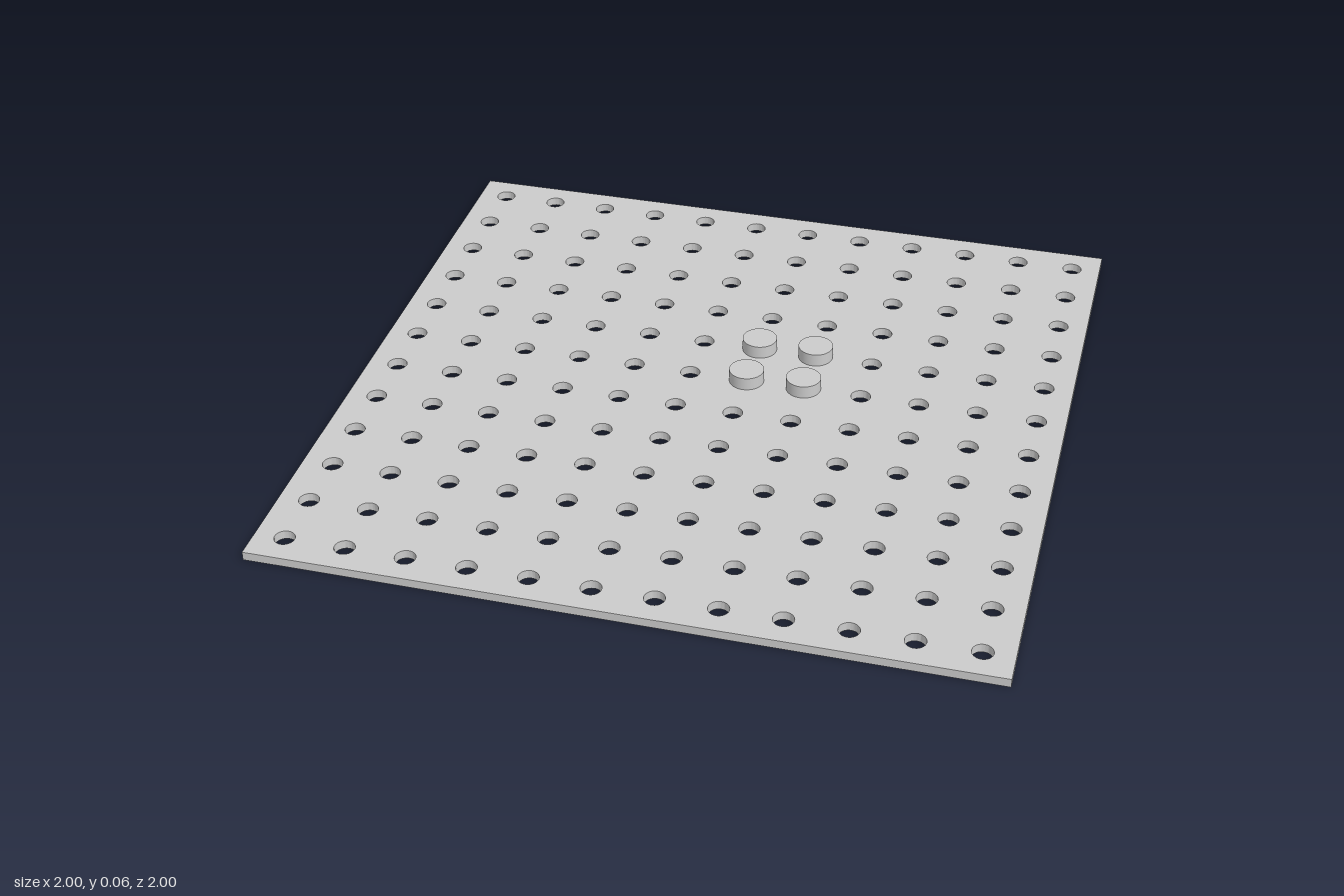
import * as THREE from 'three';
import { toCreasedNormals } from 'three/addons/utils/BufferGeometryUtils.js';

const COUNT = 12;
const PITCH = 2 / COUNT;
const THICKNESS = 0.025;
const HOLE_RADIUS = 0.028;
const PEG_RADIUS = 0.05;
const PEG_HEIGHT = 0.038;

const gridPosition = (i) => -1 + (i + 0.5) * PITCH;

export function createModel() {
  const model = new THREE.Group();
  model.name = 'pegBoard';
  const material = new THREE.MeshStandardMaterial({ color: 0xcccccc });

  // Square board with a regular grid of through holes
  const outline = new THREE.Shape([
    new THREE.Vector2(-1, -1),
    new THREE.Vector2(1, -1),
    new THREE.Vector2(1, 1),
    new THREE.Vector2(-1, 1),
  ]);
  for (let row = 0; row < COUNT; row++) {
    for (let col = 0; col < COUNT; col++) {
      const hole = new THREE.Path();
      hole.absarc(gridPosition(col), gridPosition(row), HOLE_RADIUS, 0, Math.PI * 2, true);
      outline.holes.push(hole);
    }
  }
  const boardGeometry = new THREE.ExtrudeGeometry(outline, {
    depth: THICKNESS,
    bevelEnabled: false,
    curveSegments: 24,
  });
  boardGeometry.rotateX(-Math.PI / 2);
  const board = new THREE.Mesh(toCreasedNormals(boardGeometry, 0.6), material);
  board.name = 'board';
  model.add(board);

  // Two by two cluster of round pegs standing over the holes
  const pegs = new THREE.Group();
  pegs.name = 'pegs';
  const pegGeometry = new THREE.CylinderGeometry(PEG_RADIUS, PEG_RADIUS, PEG_HEIGHT, 48);
  for (const col of [6, 7]) {
    for (const row of [4, 5]) {
      const peg = new THREE.Mesh(pegGeometry, material);
      peg.name = 'peg';
      peg.position.set(gridPosition(col), THICKNESS + PEG_HEIGHT / 2, gridPosition(row));
      pegs.add(peg);
    }
  }
  model.add(pegs);

  return model;
}
